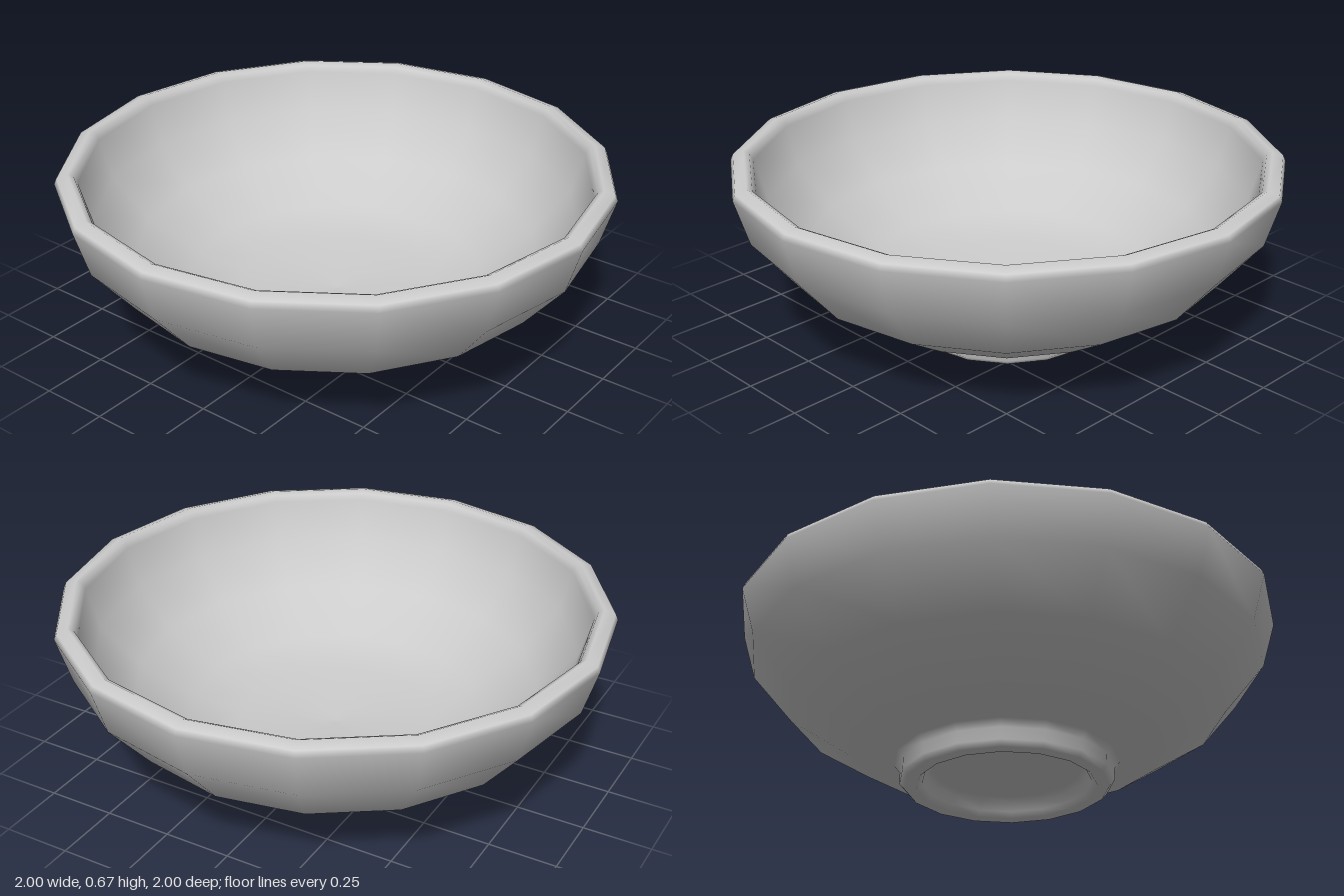
import * as THREE from 'three';

const SIDES = 16;

export function createModel() {
  const model = new THREE.Group();
  model.name = 'bowl';
  const material = new THREE.MeshStandardMaterial({ color: 0xcccccc });

  // One closed profile, turned around the y axis: [radius, height]
  const profile = [
    // recessed underside and foot ring
    [0, 0.06], [0.27, 0.065], [0.295, 0.05], [0.305, 0.02], [0.325, 0],
    [0.37, 0], [0.388, 0.02], [0.388, 0.065], [0.41, 0.09],
    // outer wall
    [0.58, 0.14], [0.8, 0.28], [0.95, 0.46], [1, 0.63],
    // rounded rim
    [0.99, 0.652], [0.95, 0.665], [0.93, 0.655], [0.918, 0.63],
    // inner wall and floor
    [0.875, 0.48], [0.74, 0.325], [0.54, 0.2], [0.36, 0.15], [0, 0.13],
  ].map(([r, y]) => new THREE.Vector2(r, y));

  const body = new THREE.Mesh(new THREE.LatheGeometry(profile, SIDES), material);
  body.name = 'bowlBody';
  model.add(body);
  return model;
}
